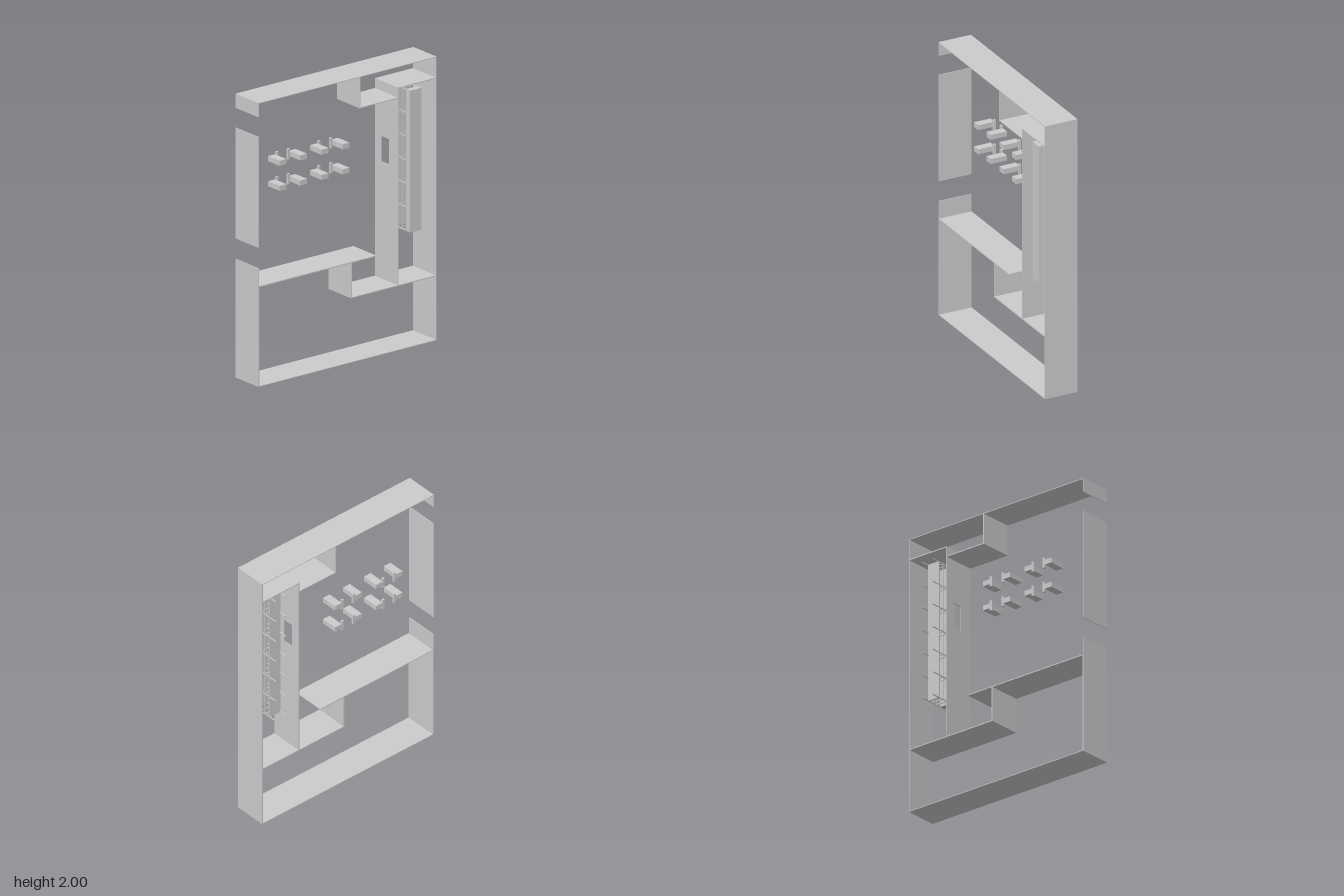
import * as THREE from 'three';

const FLOOR = -0.123, TOP = 0.123;

export function createModel() {
  const model = new THREE.Group();
  model.name = 'floorPlan';
  const mat = new THREE.MeshStandardMaterial({ color: 0xcccccc, flatShading: true });

  // Box given by its limits on each axis
  function box(parent, name, x0, x1, y0, y1, z0, z1) {
    const mesh = new THREE.Mesh(new THREE.BoxGeometry(x1 - x0, y1 - y0, z1 - z0), mat);
    mesh.position.set((x0 + x1) / 2, (y0 + y1) / 2, (z0 + z1) / 2);
    mesh.name = name;
    parent.add(mesh);
  }
  function group(name) {
    const g = new THREE.Group();
    g.name = name;
    model.add(g);
    return g;
  }

  // Outer walls, with two door gaps on one side
  const outer = group('outerWalls');
  const T = 0.005, X = 0.755;
  const outerWalls = [
    ['topWall', -X, X, 2 - T, 2],
    ['bottomWall', -X, X, 0, T],
    ['leftWall', X - T, X, T, 2 - T],
    ['rightWallLower', -X, -X + 0.01, T, 0.702],
    ['rightWallBelowDoor', -X, -X + T, 0.702, 0.835],
    ['rightWallMiddle', -X, -X + T, 0.98, 1.76],
    ['rightWallUpper', -X, -X + T, 1.9, 2 - T],
  ];
  for (const [name, x0, x1, y0, y1] of outerWalls) box(outer, name, x0, x1, y0, y1, FLOOR, TOP);

  // Inner partitions
  const inner = group('innerWalls');
  const innerWalls = [
    ['upperNookSide', 0.105, 0.112, 1.782, 1.995],
    ['upperNookBase', 0.105, 0.428, 1.775, 1.782],
    ['rackRoomTop', 0.428, 0.75, 1.845, 1.852],
    ['longPartition', -0.745, 0.245, 0.702, 0.709],
    ['lowerNookSide', 0.032, 0.039, 0.46, 0.702],
    ['lowerNookBase', 0.032, 0.75, 0.453, 0.46],
  ];
  for (const [name, x0, x1, y0, y1] of innerWalls) box(inner, name, x0, x1, y0, y1, FLOOR, TOP);

  // Partition with a serving window, extruded along x
  const wall = new THREE.Shape();
  wall.moveTo(-TOP, 0.46).lineTo(-FLOOR, 0.46).lineTo(-FLOOR, 1.845).lineTo(-TOP, 1.845).closePath();
  const hole = new THREE.Path();
  hole.moveTo(-0.027, 1.282).lineTo(-0.027, 1.463).lineTo(0.058, 1.463).lineTo(0.058, 1.282).closePath();
  wall.holes.push(hole);
  const windowWall = new THREE.Mesh(
    new THREE.ExtrudeGeometry(wall, { depth: 0.007, bevelEnabled: false }), mat);
  windowWall.rotation.y = Math.PI / 2;
  windowWall.position.x = 0.428;
  windowWall.name = 'windowWall';
  inner.add(windowWall);

  // Long rack: top case, low shelf, posts to the floor, rails and rungs
  const rack = group('rack');
  const [rx0, rx1, ry0, ry1] = [0.545, 0.64, 0.8, 1.8];
  const p = 0.006;
  box(rack, 'rackTop', rx0, rx1, ry0, ry1, 0.06, 0.106);
  box(rack, 'rackShelf', rx0, rx1, ry0, ry1, -0.064, -0.056);
  for (let i = 0; i <= 6; i++) {
    const y = ry0 + (ry1 - ry0 - p) * i / 6;
    for (const x of [rx0, rx1 - p]) box(rack, 'rackPost', x, x + p, y, y + p, FLOOR, 0.06);
    for (const z of [-0.02, 0.02]) box(rack, 'rackRung', rx0 + p, rx1 - p, y, y + p, z, z + p);
  }
  for (const z of [-0.02, 0.02])
    for (const x of [rx0, rx1 - p]) box(rack, 'rackRail', x, x + p, ry0, ry1, z, z + p);

  // Four pairs of desks; dir points from the foot plate towards the desk
  const desks = group('desks');
  const columns = [[-0.402, -1], [-0.322, 1], [-0.045, -1], [0.038, 1]];
  for (const y of [1.305, 1.482])
    for (const [x, dir] of columns) {
      const span = (a, b) => [Math.min(x + dir * a, x + dir * b), Math.max(x + dir * a, x + dir * b)];
      box(desks, 'deskBody', ...span(0.018, 0.076), y - 0.018, y + 0.018, FLOOR, 0);
      box(desks, 'deskFoot', ...span(0, 0.018), y - 0.037, y + 0.037, FLOOR, -0.108);
    }

  return model;
}
